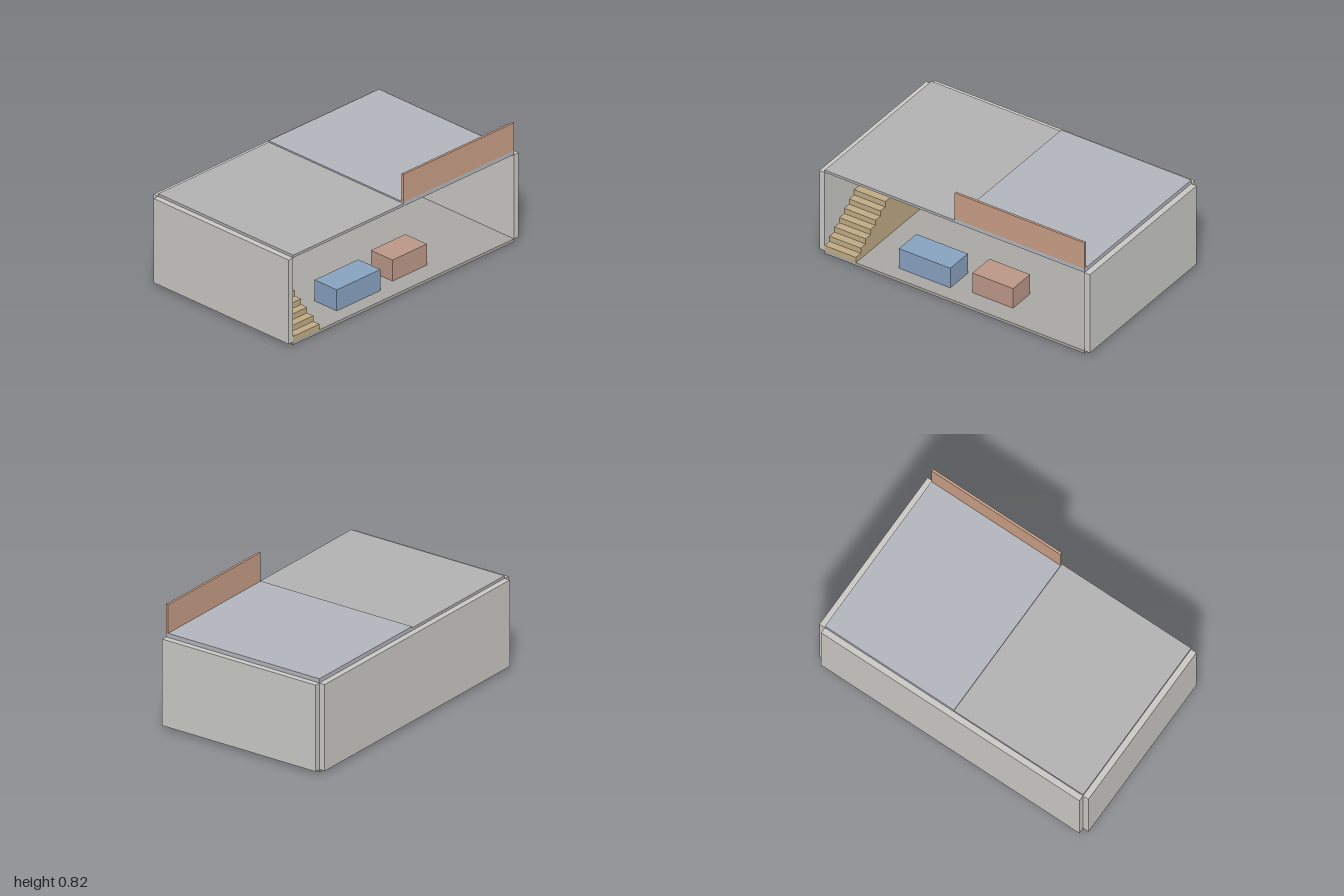
import * as THREE from 'three';

export function createModel() {
  const model = new THREE.Group();
  model.name = 'openHouse';

  // Box given by its minimum and maximum on each axis
  function addBox(name, color, [x0, x1], [y0, y1], [z0, z1]) {
    const mesh = new THREE.Mesh(
      new THREE.BoxGeometry(x1 - x0, y1 - y0, z1 - z0),
      new THREE.MeshStandardMaterial({ color })
    );
    mesh.name = name;
    mesh.position.set((x0 + x1) / 2, (y0 + y1) / 2, (z0 + z1) / 2);
    model.add(mesh);
  }

  const inner = 0.96, floorTop = 0.02, wallTop = 0.6, front = 0.6, back = -0.56;
  const wallY = [floorTop, wallTop], depth = [back, front];
  const wallColor = 0xc9c8c3;

  // Shell, open at the front
  addBox('floor', 0xa9a7a2, [-inner, inner], [0, floorTop], depth);
  addBox('backWall', wallColor, [-inner, inner], wallY, [-0.6, back]);
  addBox('leftWall', wallColor, [inner, 1], wallY, depth);
  addBox('rightWall', wallColor, [-1, -inner], wallY, depth);

  // Roof halves and the terrace parapet
  addBox('roof', 0xb1b1b1, [-inner, 0], [wallTop, 0.618], depth);
  addBox('terrace', 0xb1b4bb, [0, inner], [wallTop, 0.628], depth);
  addBox('parapet', 0xc69d85, [0, inner], [0.628, 0.82], [0.584, front]);

  // Furniture blocks
  addBox('sofa', 0x87a1be, [-0.48, -0.1], [floorTop, 0.165], [0.31, 0.5]);
  addBox('table', 0xba9787, [0.04, 0.34], [floorTop, 0.165], [0.28, 0.465]);

  // Solid staircase: stepped profile extruded across its width
  const steps = 15, run = 0.8 / steps, rise = (wallTop - floorTop) / steps;
  const profile = new THREE.Shape();
  profile.moveTo(0, 0);
  for (let i = 0; i < steps; i++) {
    profile.lineTo(i * run, (i + 1) * rise);
    profile.lineTo((i + 1) * run, (i + 1) * rise);
  }
  profile.lineTo(steps * run, 0);
  profile.closePath();
  const stairs = new THREE.Mesh(
    new THREE.ExtrudeGeometry(profile, { depth: 0.23, bevelEnabled: false }),
    new THREE.MeshStandardMaterial({ color: 0xbfaa84 })
  );
  stairs.name = 'stairs';
  stairs.rotation.y = Math.PI / 2; // profile climbs towards the back
  stairs.position.set(-inner, floorTop, front);
  model.add(stairs);

  return model;
}
